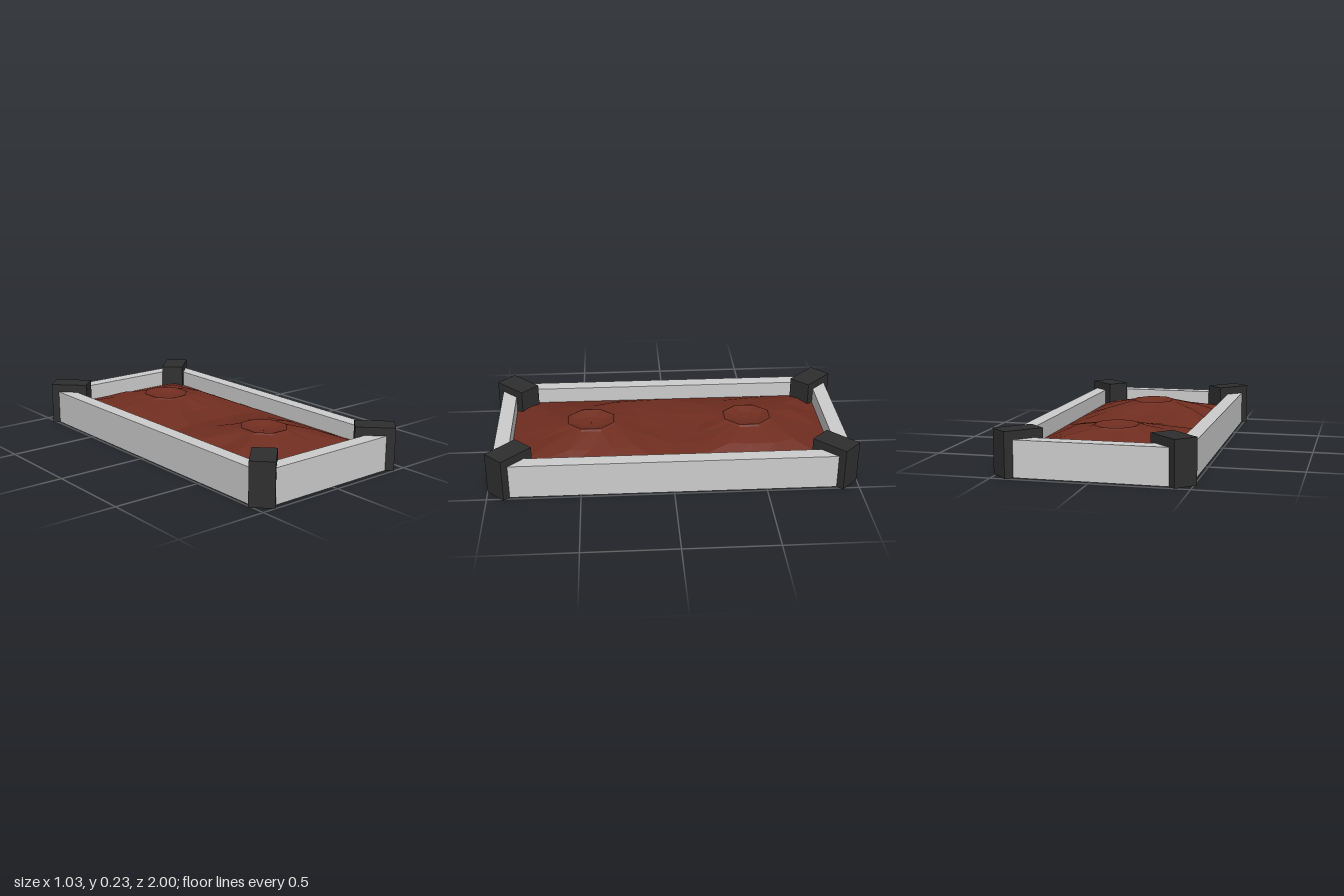
import * as THREE from 'three';

const material = (color) => new THREE.MeshStandardMaterial({ color, flatShading: true, side: THREE.DoubleSide });

// Flat-shaded surface from four-cornered faces (corners counter-clockwise)
function faces(quads) {
  const pos = [];
  for (const [a, b, c, d] of quads) pos.push(...a, ...b, ...c, ...a, ...c, ...d);
  const g = new THREE.BufferGeometry();
  g.setAttribute('position', new THREE.Float32BufferAttribute(pos, 3));
  g.computeVertexNormals();
  return g;
}

// Board shell facing +z: outer face, rim, and inner face down to the soil
function boardGeometry(zOut, zIn, a, b, h = 0.19, low = 0.085) {
  return faces([
    [[-a, 0, zOut], [a, 0, zOut], [a, h, zOut], [-a, h, zOut]],
    [[-a, h, zOut], [a, h, zOut], [b, h, zIn], [-b, h, zIn]],
    [[b, low, zIn], [-b, low, zIn], [-b, h, zIn], [b, h, zIn]],
  ]);
}

// Corner post shell, outward end at +z; the inner part stops at the soil
function postGeometry(w = 0.065, l = 0.106, h = 0.235, low = 0.085) {
  const step = l - 0.06;
  return faces([
    [[-w, 0, l], [w, 0, l], [w, h, l], [-w, h, l]],
    [[-w, h, l], [w, h, l], [w, h, -l], [-w, h, -l]],
    [[w, low, -l], [-w, low, -l], [-w, h, -l], [w, h, -l]],
    [[w, low, l], [w, low, -l], [w, h, -l], [w, h, l]],
    [[w, 0, l], [w, 0, step], [w, low, step], [w, low, l]],
    [[-w, low, -l], [-w, low, l], [-w, h, l], [-w, h, -l]],
    [[-w, 0, step], [-w, 0, l], [-w, low, l], [-w, low, step]],
  ]);
}

// One soil mound: octagonal rings round a planting hollow, blending to a rectangle
function moundGeometry(zMid, valleySide, seed) {
  const N = 16, halfX = 0.405, halfZ = 0.4425;
  let s = seed;
  const rand = () => ((s = (s * 16807) % 2147483647) / 2147483647) - 0.5;
  // [size in x, size in z, height, squareness, roughness]
  const rings = [
    [0.001, 0.001, 0.172, 0, 0],
    [0.06, 0.066, 0.178, 0, 0],
    [0.115, 0.1275, 0.196, 0, 0],
    [0.13, 0.14, 0.188, 0, 0],
    [0.26, 0.28, 0.152, 0.5, 0.02],
    [halfX, halfZ, 0.1, 1, 0],
  ].map(([rx, rz, y, square, rough]) => {
    const ring = [];
    for (let i = 0; i < N; i++) {
      const t = (i / N) * Math.PI * 2, c = Math.cos(t), n = Math.sin(t);
      const oct = i % 2 ? 1 / Math.cos(Math.PI / 8) : 1;
      const sq = 1 / Math.max(Math.abs(c), Math.abs(n));
      const k = oct + (sq - oct) * square;
      const z = n * k * rz;
      const valley = square === 1 && z * valleySide > halfZ - 0.001 && Math.abs(c * k) < 0.9 ? 0.025 : 0;
      ring.push([c * k * rx + rand() * rough, y + valley + rand() * rough, z + zMid + rand() * rough]);
    }
    return ring;
  });
  const quads = [];
  for (let r = 0; r + 1 < rings.length; r++)
    for (let i = 0; i < N; i++) {
      const j = (i + 1) % N;
      quads.push([rings[r][i], rings[r][j], rings[r + 1][j], rings[r + 1][i]]);
    }
  return faces(quads);
}

export function createModel() {
  const model = new THREE.Group();
  const add = (name, geometry, mat, parent = model) => {
    const mesh = new THREE.Mesh(geometry, mat);
    mesh.name = name;
    parent.add(mesh);
    return mesh;
  };
  const wall = material(0xcccccc), dark = material(0x2e2e2e), earth = material(0x702d20);

  // Boards
  const end = boardGeometry(0.967, 0.885, 0.43, 0.405);
  const side = boardGeometry(0.485, 0.405, 0.905, 0.885);
  ['frontBoard', 'leftBoard', 'backBoard', 'rightBoard'].forEach((name, i) => {
    add(name, i % 2 ? side : end, wall).rotation.y = (i * Math.PI) / 2;
  });

  // Corner posts, turned diagonally
  const post = postGeometry();
  for (const sx of [-1, 1])
    for (const sz of [-1, 1]) {
      const m = add((sz > 0 ? 'front' : 'back') + (sx > 0 ? 'Left' : 'Right') + 'Post', post, dark);
      m.position.set(sx * 0.394, 0, sz * 0.879);
      m.rotation.y = Math.atan2(sx, sz);
    }

  // Soil with two planting mounds
  const soil = new THREE.Group();
  soil.name = 'soil';
  for (const sz of [1, -1])
    add(sz > 0 ? 'frontMound' : 'backMound', moundGeometry(sz * 0.4425, -sz, sz > 0 ? 71 : 1234), earth, soil);
  soil.traverse((m) => {
    // Turn the faces upward
    if (!m.isMesh) return;
    const p = m.geometry.attributes.position;
    const a = new THREE.Vector3(), c = new THREE.Vector3();
    for (let i = 0; i < p.count; i += 3) {
      a.fromBufferAttribute(p, i + 1);
      c.fromBufferAttribute(p, i + 2);
      p.setXYZ(i + 1, c.x, c.y, c.z);
      p.setXYZ(i + 2, a.x, a.y, a.z);
    }
    m.geometry.computeVertexNormals();
  });
  model.add(soil);
  return model;
}
